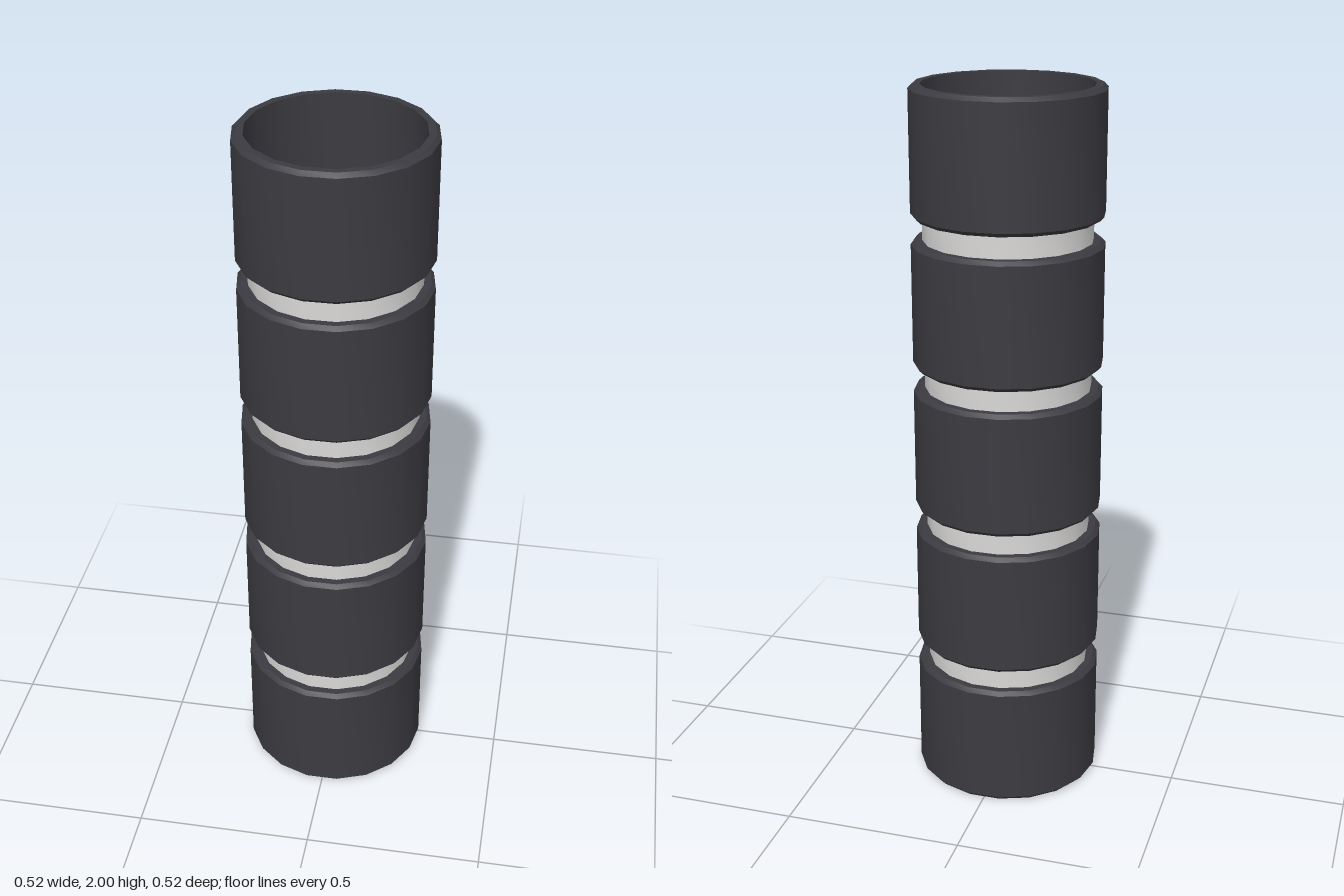
import * as THREE from 'three';
import { toCreasedNormals } from 'three/addons/utils/BufferGeometryUtils.js';

const SIDES = 18, SLEEVES = 5;
const OUTER = 0.262, INNER = 0.231, BEVEL = 0.011;
const HEIGHT = 0.35, PITCH = (2 - HEIGHT) / (SLEEVES - 1);

// Revolve a [radius, y] profile, with a corner on the +x axis
function revolve(profile) {
  const points = profile.map(([r, y]) => new THREE.Vector2(r, y));
  return toCreasedNormals(new THREE.LatheGeometry(points, SIDES, Math.PI / 2), 0.6);
}

export function createModel() {
  const group = new THREE.Group();
  group.name = 'ringedTube';
  const dark = new THREE.MeshStandardMaterial({ color: 0x3c3b41 });
  dark.name = 'charcoal';
  const light = new THREE.MeshStandardMaterial({ color: 0xdad9d8, side: THREE.DoubleSide });
  light.name = 'lightGrey';

  // Hollow sleeve with bevelled outer rims
  const sleeveGeometry = revolve([
    [INNER, 0], [OUTER - BEVEL, 0], [OUTER, BEVEL],
    [OUTER, HEIGHT - BEVEL], [OUTER - BEVEL, HEIGHT], [INNER, HEIGHT], [INNER, 0],
  ]);
  // Thin open band filling the gap between two sleeves
  const bandGeometry = revolve([[INNER, HEIGHT], [INNER, PITCH]]);

  for (let i = 0; i < SLEEVES; i++) {
    const sleeve = new THREE.Mesh(sleeveGeometry, dark);
    sleeve.name = `sleeve${i + 1}`;
    sleeve.position.y = i * PITCH;
    group.add(sleeve);
    if (i === SLEEVES - 1) continue;
    const band = new THREE.Mesh(bandGeometry, light);
    band.name = `band${i + 1}`;
    band.position.y = i * PITCH;
    group.add(band);
  }
  return group;
}
